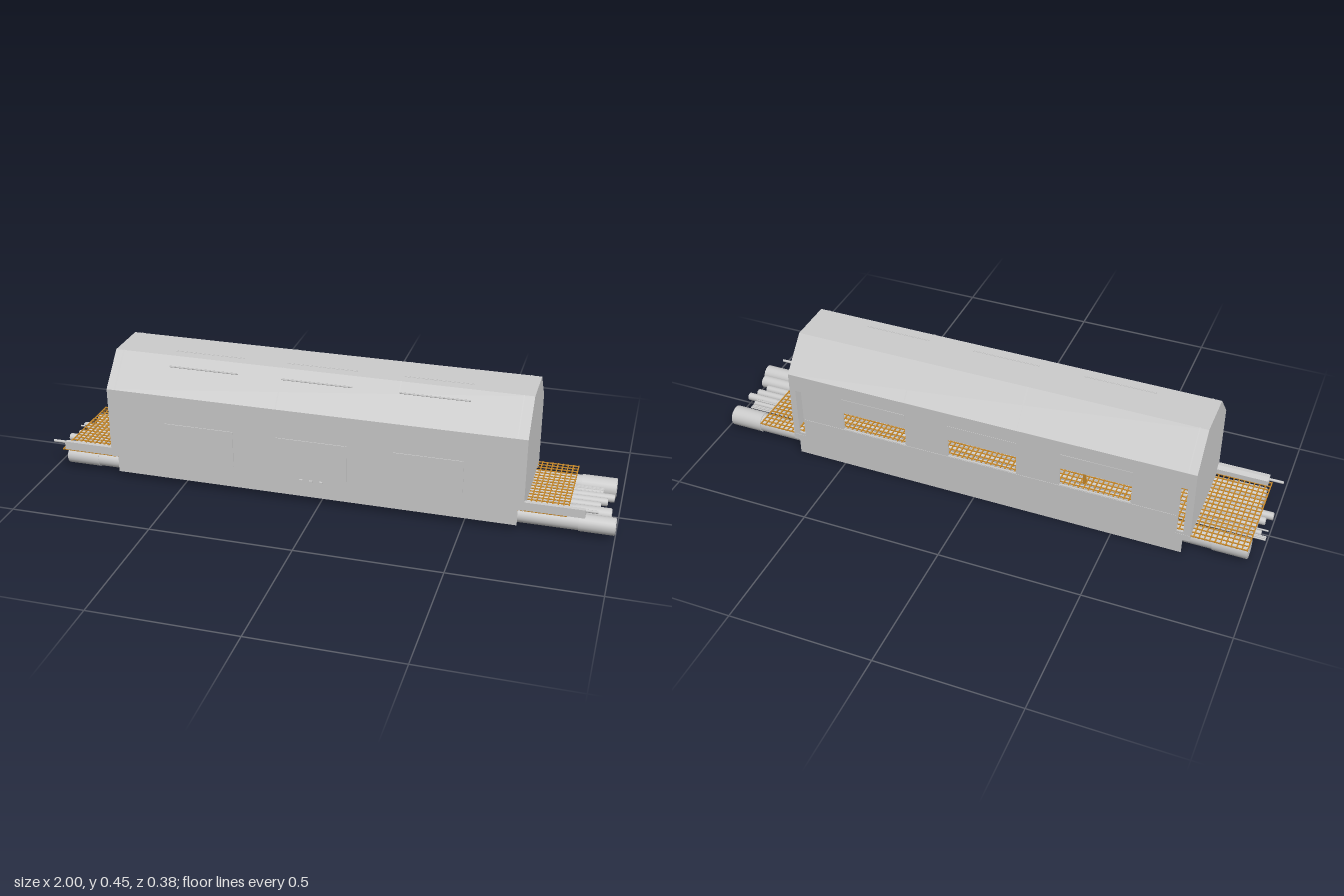
import * as THREE from 'three';

const grey = new THREE.MeshStandardMaterial({ color: 0xcccccc });
const greyThin = new THREE.MeshStandardMaterial({ color: 0xcccccc, side: THREE.DoubleSide });
const orange = new THREE.MeshStandardMaterial({ color: 0xc98a2b });

const X0 = -0.77, X1 = 0.70;        // hull ends
const T0 = -0.745, T1 = 0.68;       // trough ends
const ZF = 0.182, ZB = -0.188;      // front and back walls
const BAYS = [[-0.56, -0.31], [-0.155, 0.095], [0.255, 0.495]];

function add(group, name, geometry, material = grey) {
  const mesh = new THREE.Mesh(geometry, material);
  mesh.name = name;
  group.add(mesh);
  return mesh;
}

// Box given by its limits on each axis
function box(group, name, [x0, x1], [y0, y1], [z0, z1], material) {
  const g = new THREE.BoxGeometry(x1 - x0, y1 - y0, z1 - z0);
  g.translate((x0 + x1) / 2, (y0 + y1) / 2, (z0 + z1) / 2);
  return add(group, name, g, material);
}

// Cylinder lying along x
function rod(group, name, x0, x1, y, z, r, material, sides = 24) {
  const g = new THREE.CylinderGeometry(r, r, x1 - x0, sides).rotateZ(Math.PI / 2);
  g.translate((x0 + x1) / 2, y, z);
  return add(group, name, g, material);
}

// Flat panels swept along x through a [z, y] section
function sweep(section, x0, x1) {
  const p = [];
  for (let i = 0; i < section.length - 1; i++) {
    const [za, ya] = section[i], [zb, yb] = section[i + 1];
    p.push(x0, ya, za, x1, ya, za, x1, yb, zb, x0, ya, za, x1, yb, zb, x0, yb, zb);
  }
  const g = new THREE.BufferGeometry();
  g.setAttribute('position', new THREE.Float32BufferAttribute(p, 3));
  g.computeVertexNormals();
  return g;
}

function rectPath(x0, x1, y0, y1, Type = THREE.Path) {
  return new Type([[x0, y0], [x1, y0], [x1, y1], [x0, y1]].map(([x, y]) => new THREE.Vector2(x, y)));
}

function buildHull() {
  const hull = new THREE.Group();
  hull.name = 'hull';
  const section = [[ZF, 0.08], [ZF, 0.34], [0.08, 0.45], [-0.085, 0.45], [ZB, 0.34]];
  add(hull, 'frontWallAndRoof', sweep(section, X0, X1), greyThin);

  // End walls
  const endShape = new THREE.Shape([...section, [ZB, 0.08]].map(([z, y]) => new THREE.Vector2(z, y)));
  for (const x of [X0, X1]) {
    const g = new THREE.ShapeGeometry(endShape).rotateY(-Math.PI / 2).translate(x, 0, 0);
    add(hull, 'endWall', g, greyThin);
  }

  // Back wall with windows and a narrow slot near each end
  const wall = rectPath(X0, X1, 0.08, 0.34, THREE.Shape);
  for (const [a, b] of BAYS) wall.holes.push(rectPath(a, b, 0.157, 0.24));
  wall.holes.push(rectPath(-0.745, -0.722, 0.09, 0.275), rectPath(0.655, 0.678, 0.09, 0.275));
  const back = new THREE.ExtrudeGeometry(wall, { depth: 0.008, bevelEnabled: false });
  add(hull, 'backWall', back.translate(0, 0, ZB), greyThin);
  box(hull, 'lowerBackPlate', [-0.715, 0.65], [0.06, 0.155], [ZB - 0.0015, ZB]);

  for (const [a, b] of BAYS) {
    box(hull, 'frontShutter', [a, b], [0.1, 0.235], [ZF, ZF + 0.003]);
    box(hull, 'backShutter', [a, b], [0.23, 0.288], [ZB - 0.0015, ZB]);
    // Slim strips on the roof
    rod(hull, 'roofStrip', a, b, 0.42, 0.108, 0.003, grey, 6);
    rod(hull, 'roofStrip', a, b, 0.45, 0.04, 0.002, grey, 6);
  }

  // Thin seams over the roof
  const seam = section.slice(1).map(([z, y]) => [z * 1.003, y + 0.001]);
  for (const x of [-0.74, -0.155, 0.255, 0.665]) {
    add(hull, 'roofSeam', sweep(seam, x - 0.002, x + 0.002), greyThin);
  }

  // Small latch studs low on the front
  for (const x of [-0.065, -0.03, 0.005]) {
    box(hull, 'latch', [x - 0.006, x + 0.006], [0.083, 0.088], [ZF, ZF + 0.008]);
  }
  return hull;
}

function buildGrating() {
  const grating = new THREE.Group();
  grating.name = 'floorGrating';
  const a = -0.96, b = 0.84, n = 100, m = 18;
  for (let i = 0; i <= n; i++) {
    const x = a + (b - a) * i / n;
    box(grating, 'crossBar', [x - 0.002, x + 0.002], [0.078, 0.082], [ZB + 0.001, ZF - 0.001], orange);
  }
  for (let i = 0; i <= m; i++) {
    const z = ZB + 0.004 + (ZF - ZB - 0.008) * i / m;
    box(grating, 'longBar', [a, b], [0.078, 0.081], [z - 0.002, z + 0.002], orange);
  }
  return grating;
}

function buildPipes() {
  const pipes = new THREE.Group();
  pipes.name = 'pipes';
  // z, y, radius, left end, right end
  const large = [
    [0.143, 0.045, 0.03, -0.95, 1.0],
    [0.082, 0.052, 0.023, -0.95, 0.98],
    [0.038, 0.056, 0.014, -1.0, 0.94],
    [0.004, 0.056, 0.014, -0.98, 0.96],
    [-0.028, 0.056, 0.014, -0.96, 0.98],
    [-0.058, 0.056, 0.009, -0.98, 0.94],
    [-0.13, 0.041, 0.036, -0.96, 0.98],
  ];
  for (const [z, y, r, x0, x1] of large) {
    rod(pipes, 'pipe', x0, x1, y, z, r * 0.92);
    rod(pipes, 'pipeSleeve', x0 + 0.002, x0 + 0.12, y, z, r);
    rod(pipes, 'pipeSleeve', x1 - 0.12, x1 - 0.002, y, z, r);
  }
  for (const [z, y] of [[-0.047, 0.062], [-0.072, 0.056], [-0.079, 0.056], [-0.087, 0.056]]) {
    rod(pipes, 'conduit', -1.0, 0.94, y, z, 0.003, grey, 10);
  }
  return pipes;
}

function buildRails() {
  const rails = new THREE.Group();
  rails.name = 'sideRails';
  // Front kerb with a cut corner, carrying a thin rod
  const kerb = [[ZF, 0.082], [ZF, 0.112], [0.167, 0.112], [0.156, 0.1], [0.156, 0.082]];
  const shape = new THREE.Shape(kerb.map(([z, y]) => new THREE.Vector2(-z, y)));
  const g = new THREE.ExtrudeGeometry(shape, { depth: 1.85, bevelEnabled: false });
  add(rails, 'frontKerb', g.rotateY(Math.PI / 2).translate(-0.95, 0, 0));
  rod(rails, 'kerbRod', -1.0, 0.94, 0.103, 0.167, 0.005, grey, 12);
  // Back angle
  box(rails, 'backLedge', [X0, X1], [0.067, 0.078], [ZB, -0.157]);
  box(rails, 'backLip', [X0, X1], [0.058, 0.08], [ZB - 0.001, ZB + 0.003]);
  return rails;
}

function buildInterior() {
  const interior = new THREE.Group();
  interior.name = 'interior';
  // Orange work frame
  for (const x of [-0.54, -0.36]) {
    for (const z of [-0.06, 0.08]) box(interior, 'framePost', [x - 0.005, x + 0.005], [0.08, 0.17], [z - 0.005, z + 0.005], orange);
    box(interior, 'frameBeam', [x - 0.005, x + 0.005], [0.16, 0.17], [-0.06, 0.08], orange);
  }
  for (const z of [-0.06, 0.08]) box(interior, 'frameRail', [-0.54, -0.36], [0.16, 0.17], [z - 0.005, z + 0.005], orange);
  // Grey leaning ladder
  const ladder = new THREE.Group();
  ladder.name = 'ladder';
  for (const z of [-0.03, 0.03]) box(ladder, 'ladderSide', [-0.005, 0.005], [0, 0.26], [z - 0.005, z + 0.005]);
  for (let i = 1; i < 7; i++) box(ladder, 'rung', [-0.004, 0.004], [i * 0.037, i * 0.037 + 0.007], [-0.03, 0.03]);
  ladder.position.set(0.06, 0.082, 0.02);
  ladder.rotation.z = 0.6;
  interior.add(ladder);
  return interior;
}

export function createModel() {
  const model = new THREE.Group();
  model.name = 'pipeGallery';
  // Open-ended trough with a sloping underside
  const trough = [[ZB, 0.08], [ZB, 0], [ZF, 0.022], [ZF, 0.08]];
  add(model, 'trough', sweep(trough, T0, T1));
  model.add(buildHull(), buildGrating(), buildPipes(), buildRails(), buildInterior());
  return model;
}
